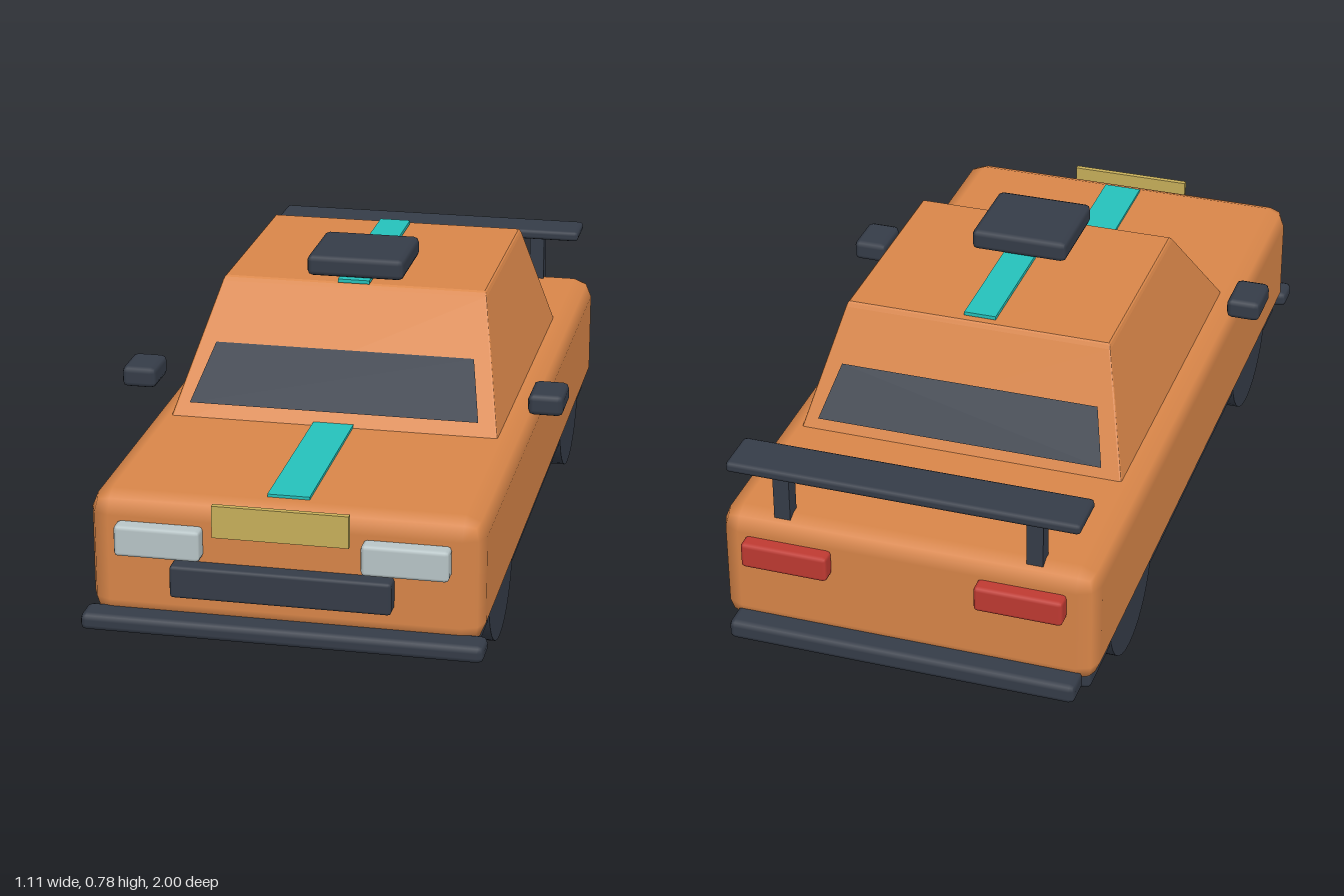
import * as THREE from 'three';
import { RoundedBoxGeometry } from 'three/addons/geometries/RoundedBoxGeometry.js';

const mat = (name, color, side = THREE.FrontSide) => {
  const m = new THREE.MeshStandardMaterial({ color, side });
  m.name = name;
  return m;
};

export function createModel() {
  const orange = mat('orange paint', 0xd98649);
  const dark = mat('dark trim', 0x353c48);
  const glass = mat('dark glass', 0x353c48, THREE.DoubleSide);
  const teal = mat('teal stripe', 0x25c2bb);
  const silver = mat('pale lamp', 0xb9c6c8);
  const red = mat('red lamp', 0xc03a32);
  const gold = mat('gold plate', 0xc8b05a);

  const car = new THREE.Group();
  car.name = 'car';

  const add = (name, geometry, material) => {
    const mesh = new THREE.Mesh(geometry, material);
    mesh.name = name;
    car.add(mesh);
    return mesh;
  };

  // Box given by its limits on each axis; a radius softens the edges
  const block = (name, material, [x0, x1], [y0, y1], [z0, z1], radius = 0) => {
    const size = [x1 - x0, y1 - y0, z1 - z0];
    const geometry = radius
      ? new RoundedBoxGeometry(...size, 1, radius)
      : new THREE.BoxGeometry(...size);
    const mesh = add(name, geometry, material);
    mesh.position.set((x0 + x1) / 2, (y0 + y1) / 2, (z0 + z1) / 2);
    return mesh;
  };

  // Same box on both sides of the car
  const pair = (name, material, [x0, x1], y, z, radius) => {
    block(name + 'Left', material, [x0, x1], y, z, radius);
    block(name + 'Right', material, [-x1, -x0], y, z, radius);
  };

  // Lower body and chassis
  block('body', orange, [-0.465, 0.465], [0.12, 0.432], [-0.947, 0.947], 0.05);
  block('chassis', dark, [-0.445, 0.445], [0.09, 0.14], [-0.915, 0.915], 0.015);

  // Cabin: a box tapered towards the roof
  const cabin = new RoundedBoxGeometry(2, 0.32, 2, 1, 0.012);
  const p = cabin.attributes.position;
  for (let i = 0; i < p.count; i++) {
    const y = p.getY(i) + 0.56;
    const t = (y - 0.43) / 0.29;
    const front = THREE.MathUtils.lerp(0.41, 0.15, t);
    const back = THREE.MathUtils.lerp(-0.545, -0.4, t);
    p.setXYZ(i, p.getX(i) * THREE.MathUtils.lerp(0.408, 0.333, t), y,
      (front + back) / 2 + p.getZ(i) * (front - back) / 2);
  }
  cabin.computeVertexNormals();
  add('cabin', cabin, orange);

  // Flat window panes, leaning a little more than the cabin
  const pane = (name, bottomZ, topZ) => {
    const corners = [-0.36, 0.47, bottomZ, 0.36, 0.47, bottomZ,
      0.325, 0.585, topZ, -0.325, 0.585, topZ];
    const geometry = new THREE.BufferGeometry();
    geometry.setAttribute('position', new THREE.Float32BufferAttribute(corners, 3));
    geometry.setIndex(bottomZ > 0 ? [0, 1, 2, 0, 2, 3] : [0, 2, 1, 0, 3, 2]);
    geometry.computeVertexNormals();
    add(name, geometry, glass);
  };
  pane('windshield', 0.41, 0.275);
  pane('rearWindow', -0.555, -0.472);

  // Stripes and roof box
  block('hoodStripe', teal, [-0.05, 0.05], [0.43, 0.439], [0.395, 0.885]);
  block('roofStripe', teal, [-0.04, 0.04], [0.722, 0.731], [-0.38, 0.16]);
  block('roofBox', dark, [-0.123, 0.123], [0.73, 0.783], [-0.08, 0.15], 0.014);

  // Nose
  pair('headlight', silver, [0.188, 0.392], [0.296, 0.372], [0.94, 0.987], 0.01);
  block('frontPlate', gold, [-0.16, 0.16], [0.358, 0.436], [0.962, 0.976]);
  block('grille', dark, [-0.26, 0.26], [0.205, 0.284], [0.94, 0.99], 0.008);
  block('frontBumper', dark, [-0.475, 0.475], [0.108, 0.15], [0.92, 1], 0.015);

  // Tail
  pair('tailLight', red, [0.18, 0.395], [0.31, 0.376], [-0.985, -0.94], 0.01);
  block('rearBumper', dark, [-0.43, 0.43], [0.105, 0.155], [-1, -0.92], 0.015);
  pair('spoilerPost', dark, [0.29, 0.33], [0.42, 0.565], [-0.92, -0.88]);
  block('spoilerWing', dark, [-0.43, 0.43], [0.556, 0.583], [-0.963, -0.842], 0.01);

  // Side mirrors
  pair('mirror', dark, [0.468, 0.555], [0.47, 0.523], [0.215, 0.338], 0.014);

  // Wheels
  const tyre = new THREE.CylinderGeometry(0.183, 0.183, 0.132, 32).rotateZ(Math.PI / 2);
  for (const [end, z] of [['front', 0.59], ['rear', -0.59]]) {
    for (const [side, x] of [['Left', 0.384], ['Right', -0.384]]) {
      add(end + 'Wheel' + side, tyre, dark).position.set(x, 0.183, z);
    }
  }

  return car;
}
